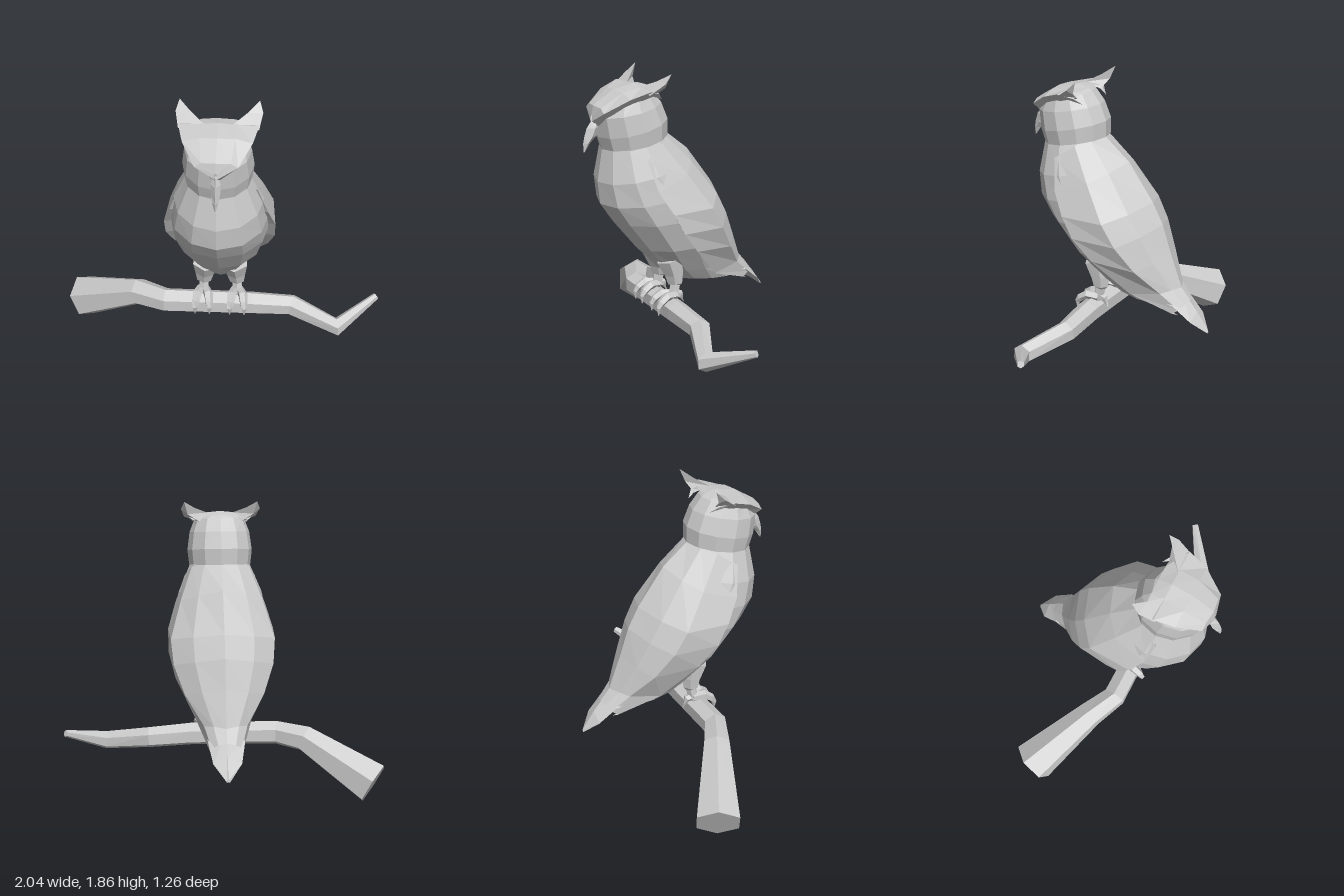
import * as THREE from 'three';

const V = (x, y, z) => new THREE.Vector3(x, y, z);

function makeMesh(name, tris, side) {
  const geo = new THREE.BufferGeometry().setFromPoints(tris);
  geo.computeVertexNormals();
  const mesh = new THREE.Mesh(geo, new THREE.MeshStandardMaterial({ color: 0xcccccc, flatShading: true, side }));
  mesh.name = name;
  return mesh;
}

// Closed skin over a list of rings, capped at both ends and turned outwards
function loft(name, rings) {
  const tris = [];
  const n = rings[0].length;
  for (let i = 0; i < rings.length - 1; i++) {
    for (let j = 0; j < n; j++) {
      const k = (j + 1) % n;
      const a = rings[i][j], b = rings[i][k], c = rings[i + 1][k], d = rings[i + 1][j];
      tris.push(a, b, c, a, c, d);
    }
  }
  const last = rings[rings.length - 1];
  for (let j = 1; j < n - 1; j++) {
    tris.push(rings[0][0], rings[0][j + 1], rings[0][j]);
    tris.push(last[0], last[j], last[j + 1]);
  }
  let volume = 0;
  for (let i = 0; i < tris.length; i += 3) volume += tris[i].dot(tris[i + 1].clone().cross(tris[i + 2]));
  if (volume < 0) tris.reverse();
  return makeMesh(name, tris, THREE.FrontSide);
}

// Open sheet over rows of points
function sheet(name, rows) {
  const tris = [];
  for (let i = 0; i < rows.length - 1; i++) {
    for (let j = 0; j < rows[i].length - 1; j++) {
      const a = rows[i][j], b = rows[i][j + 1], c = rows[i + 1][j + 1], d = rows[i + 1][j];
      tris.push(a, b, c, a, c, d);
    }
  }
  return makeMesh(name, tris, THREE.DoubleSide);
}

// Tilted oval ring from its front point, back point and half width
function oval([fz, fy, bz, by, w], n = 12) {
  return Array.from({ length: n }, (_, i) => {
    const t = (i / n) * Math.PI * 2;
    const c = (1 + Math.cos(t)) / 2;
    return V(w * Math.sin(t), by + (fy - by) * c, bz + (fz - bz) * c);
  });
}

// Rings along a bent path of [x, y, z, radius] stations
function limb(name, stations, sides) {
  const pts = stations.map(([x, y, z]) => V(x, y, z));
  return loft(name, stations.map((s, i) => {
    const dir = pts[Math.min(i + 1, pts.length - 1)].clone().sub(pts[Math.max(i - 1, 0)]).normalize();
    const ref = Math.abs(dir.y) > 0.8 ? V(0, 0, 1) : V(0, 1, 0);
    const side = dir.clone().cross(ref).normalize();
    const up = side.clone().cross(dir);
    return Array.from({ length: sides }, (_, k) => {
      const t = ((k + 0.5) / sides) * Math.PI * 2;
      return pts[i].clone().addScaledVector(side, Math.cos(t) * s[3]).addScaledVector(up, Math.sin(t) * s[3]);
    });
  }));
}

// Full row from a half row that runs from the outside to the centre line
const mirrorRow = half => [...half, ...half.slice(0, -1).reverse().map(p => V(-p.x, p.y, p.z))];

export function createModel() {
  const model = new THREE.Group();
  model.name = 'owlOnBranch';
  const owl = new THREE.Group();
  owl.name = 'owl';
  owl.position.x = -0.008;
  model.add(owl);

  // Breast and belly
  owl.add(loft('torso', [
    [0.51, 1.43, 0.12, 1.48, 0.19],
    [0.545, 1.23, 0.0, 1.34, 0.265],
    [0.53, 1.09, -0.12, 1.18, 0.295],
    [0.45, 0.97, -0.2, 1.02, 0.3],
    [0.3, 0.78, -0.28, 0.82, 0.26],
    [0.15, 0.62, -0.36, 0.6, 0.16],
    [0.05, 0.54, -0.42, 0.485, 0.11],
  ].map(r => oval(r))));

  // Head
  owl.add(loft('head', [
    [0.51, 1.42, 0.1, 1.49, 0.195],
    [0.535, 1.5, 0.1, 1.59, 0.205],
    [0.55, 1.62, 0.14, 1.69, 0.19],
    [0.5, 1.7, 0.2, 1.765, 0.16],
    [0.38, 1.755, 0.23, 1.78, 0.09],
  ].map(r => oval(r))));

  // Folded wings and back: [spine y, z], [ridge x, y, z], [front edge x, y, z]
  const mantle = [
    [[1.49, 0.1], [0.18, 1.46, 0.21], [0.225, 1.38, 0.33]],
    [[1.36, -0.06], [0.255, 1.27, 0.08], [0.29, 1.2, 0.29]],
    [[1.13, -0.23], [0.32, 1.06, -0.06], [0.335, 1.06, 0.21]],
    [[1.0, -0.3], [0.305, 0.92, -0.14], [0.335, 0.93, 0.14]],
    [[0.82, -0.36], [0.24, 0.76, -0.24], [0.295, 0.79, 0.03]],
    [[0.61, -0.44], [0.13, 0.6, -0.36], [0.17, 0.57, -0.17]],
    [[0.54, -0.5], [0.09, 0.5, -0.47], [0.1, 0.47, -0.43]],
  ];
  owl.add(sheet('wingsAndBack', mantle.map(([s, m, e]) => {
    const spine = V(0, ...s), ridge = V(...m), edge = V(...e);
    const bulge = spine.clone().lerp(ridge, 0.58).add(V(0, 0.01, -0.11 * ridge.x));
    return mirrorRow([V(e[0] * 0.78, e[1] - 0.01, e[2] - 0.03), edge, ridge, bulge, spine]);
  })));

  // Tail: [z, top, bottom, half width]
  owl.add(loft('tail', [
    [-0.28, 0.62, 0.515, 0.12],
    [-0.44, 0.6, 0.47, 0.11],
    [-0.55, 0.475, 0.41, 0.085],
    [-0.63, 0.362, 0.352, 0.008],
  ].map(([z, t, b, w]) => [V(0, t, z), V(w, (t + b) / 2 - 0.01, z), V(0, b, z), V(-w, (t + b) / 2 - 0.01, z)])));

  // Brow and crown: outer edge, inner edge, centre
  const brow = [
    [[0.012, 1.6, 0.575], [0.008, 1.63, 0.572], [0, 1.635, 0.572]],
    [[0.12, 1.66, 0.55], [0.08, 1.685, 0.55], [0, 1.69, 0.56]],
    [[0.195, 1.74, 0.42], [0.1, 1.765, 0.42], [0, 1.77, 0.43]],
    [[0.225, 1.78, 0.3], [0.1, 1.785, 0.3], [0, 1.795, 0.3]],
    [[0.17, 1.75, 0.22], [0.09, 1.775, 0.22], [0, 1.78, 0.22]],
  ];
  owl.add(sheet('brow', brow.map(([o, i, c]) =>
    mirrorRow([V(o[0] * 0.75, o[1] - 0.04, o[2] - 0.04), V(...o), V(...i), V(...c)]))));

  // Hooked beak: [y, front z, back z, half width]
  owl.add(loft('beak', [
    [1.6, 0.575, 0.52, 0.012],
    [1.56, 0.605, 0.52, 0.028],
    [1.51, 0.622, 0.54, 0.026],
    [1.47, 0.63, 0.585, 0.018],
    [1.42, 0.628, 0.62, 0.003],
  ].map(([y, f, b, w]) => [V(0, y, f), V(w, y, (f + b) / 2), V(0, y, b), V(-w, y, (f + b) / 2)])));

  for (const s of [1, -1]) {
    const side = s > 0 ? 'left' : 'right';
    // Ear tuft
    const tuftBase = [V(s * 0.225, 1.76, 0.31), V(s * 0.08, 1.785, 0.3), V(s * 0.13, 1.74, 0.22)];
    const tuftMid = [V(s * 0.245, 1.82, 0.22), V(s * 0.16, 1.825, 0.23), V(s * 0.205, 1.79, 0.2)];
    const tuftTip = [0, 1, 2].map(() => V(s * 0.225, 1.87, 0.17));
    owl.add(loft(side + 'EarTuft', [tuftBase, tuftMid, tuftTip]));

    // Leg with feathered thigh
    owl.add(limb(side + 'Leg', [
      [s * 0.09, 0.7, 0.11, 0.09], [s * 0.1, 0.6, 0.085, 0.065], [s * 0.105, 0.535, 0.08, 0.05],
      [s * 0.105, 0.525, 0.08, 0.034], [s * 0.11, 0.44, 0.1, 0.034],
    ], 6));

    // Front toes with claws
    for (const dx of [-0.035, 0.035]) {
      const x = 0.11 + dx;
      owl.add(limb(side + 'FrontToe', [
        [s * (0.11 + dx * 0.4), 0.46, 0.09, 0.03], [s * x, 0.47, 0.16, 0.03],
        [s * (x + dx * 0.2), 0.44, 0.205, 0.026], [s * (x + dx * 0.3), 0.41, 0.225, 0.018],
        [s * (x + dx * 0.3), 0.36, 0.225, 0.003],
      ], 5));
    }
    // Back toe
    owl.add(limb(side + 'BackToe', [
      [s * 0.11, 0.465, 0.1, 0.028], [s * 0.11, 0.455, 0.05, 0.026], [s * 0.11, 0.4, 0.025, 0.004],
    ], 5));
  }

  // Crooked branch
  model.add(limb('branch', [
    [-0.95, 0.135, -0.19, 0.145], [-0.54, 0.365, 0.03, 0.088], [-0.36, 0.378, 0.12, 0.078],
    [0.19, 0.38, 0.12, 0.074], [0.45, 0.365, 0.11, 0.068], [0.74, 0.305, 0.24, 0.06],
    [0.988, 0.42, 0.06, 0.022],
  ], 6));

  return model;
}
